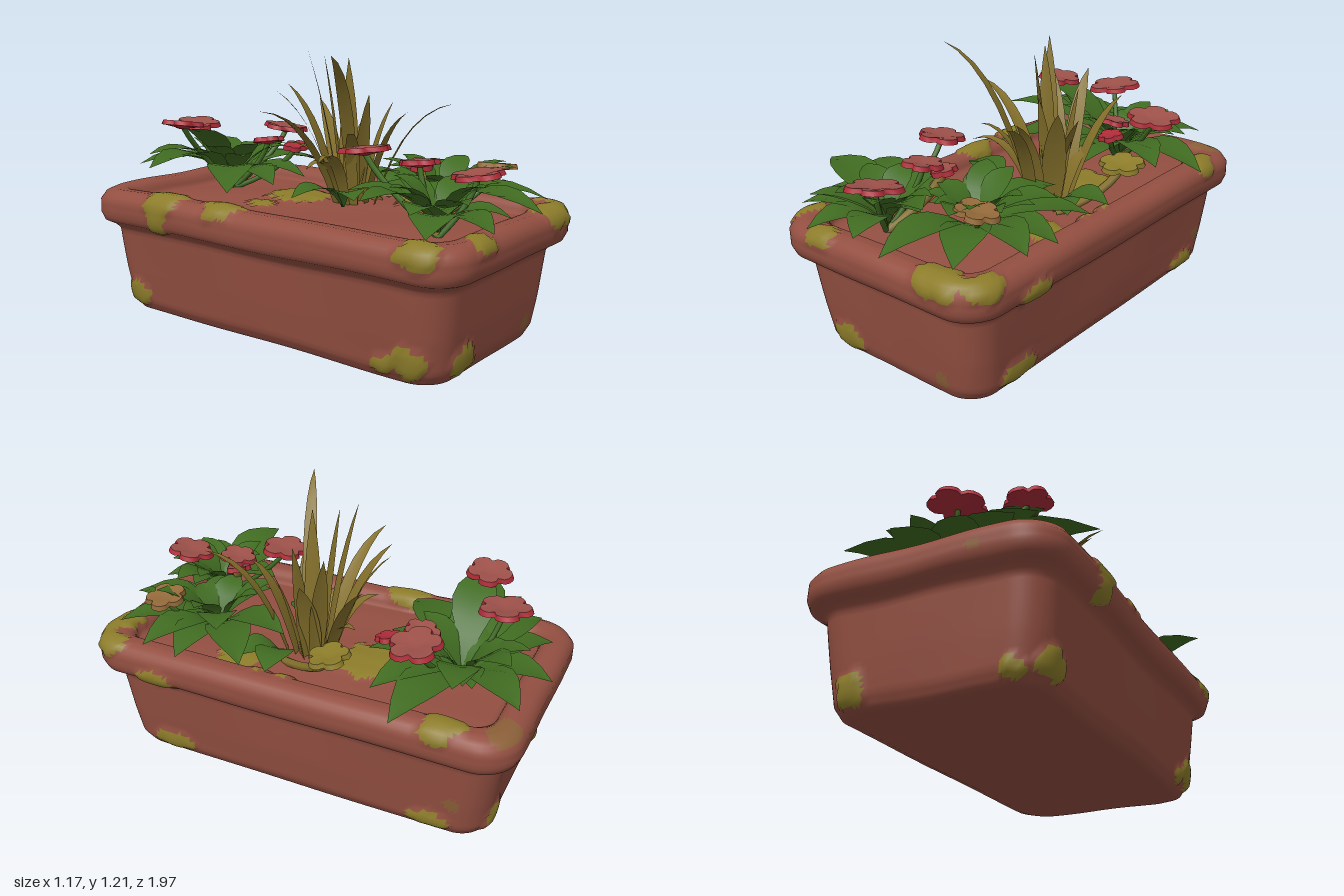
import * as THREE from 'three';

const mat = (name, color, side = THREE.FrontSide) => {
  const m = new THREE.MeshStandardMaterial({ color, side });
  m.name = name;
  return m;
};
const V = (x, y, z) => new THREE.Vector3(x, y, z);

// small seeded generator
let seed = 7;
const rnd = (a = 0, b = 1) => {
  seed = (seed * 16807) % 2147483647;
  return a + (b - a) * seed / 2147483647;
};

function makeGeometry(pos, index) {
  const g = new THREE.BufferGeometry();
  g.setAttribute('position', new THREE.Float32BufferAttribute(pos, 3));
  g.setIndex(index);
  g.computeVertexNormals();
  return g;
}

// rounded rectangle loop, evenly divided so that loops of any size can be joined
function ring(hx, hz, r) {
  r = Math.min(r, hx, hz);
  const signs = [[1, 1], [-1, 1], [-1, -1], [1, -1]], arc = 12, pts = [];
  const corner = (q, k) => {
    const a = (q + k / arc) * Math.PI / 2, [sx, sz] = signs[q];
    return [sx * (hx - r) + r * Math.cos(a), sz * (hz - r) + r * Math.sin(a)];
  };
  for (let q = 0; q < 4; q++) {
    for (let k = 0; k < arc; k++) pts.push(corner(q, k));
    const a = corner(q, arc), b = corner((q + 1) % 4, 0), n = q % 2 ? 72 : 34;
    for (let k = 0; k < n; k++) pts.push([a[0] + (b[0] - a[0]) * k / n, a[1] + (b[1] - a[1]) * k / n]);
  }
  return pts;
}

// planter wall profile, bottom centre to soil centre: y, half width, half depth, corner radius
const PROFILE = [
  [0.012, 0, 0.4, 0], [0.012, 0.37, 0.79, 0.11], [0.025, 0.41, 0.825, 0.12], [0.07, 0.438, 0.847, 0.13],
  [0.2, 0.455, 0.865, 0.13], [0.40, 0.475, 0.89, 0.13], [0.425, 0.495, 0.91, 0.14], [0.445, 0.528, 0.948, 0.15],
  [0.48, 0.54, 0.965, 0.16], [0.54, 0.54, 0.965, 0.16], [0.572, 0.52, 0.945, 0.15], [0.588, 0.485, 0.91, 0.13],
  [0.585, 0.435, 0.86, 0.1], [0.565, 0.41, 0.835, 0.09], [0.525, 0.397, 0.82, 0.08], [0.53, 0.3, 0.72, 0.08],
  [0.535, 0, 0.4, 0],
];

// moss patches: x, y, z, radius along the wall, radius in height, faded
const MOSS = [
  [-0.26, 0.1, 0.85, 0.085, 0.065], [0.33, 0.565, 0.93, 0.12, 0.05], [-0.28, 0.57, 0.94, 0.075, 0.04],
  [0.26, 0.1, 0.85, 0.035, 0.04, 1], [-0.44, 0.1, 0.72, 0.07, 0.07], [0.44, 0.09, 0.6, 0.1, 0.055],
  [0.44, 0.09, -0.63, 0.085, 0.045], [0.46, 0.2, -0.73, 0.035, 0.04, 1], [0.53, 0.45, 0.6, 0.085, 0.055],
  [0.51, 0.57, -0.66, 0.08, 0.05], [0.5, 0.56, 0.85, 0.09, 0.04], [0.46, 0.58, -0.68, 0.08, 0.05],
  [0.4, 0.58, -0.9, 0.08, 0.04, 1], [-0.49, 0.57, -0.48, 0.1, 0.07], [-0.53, 0.48, -0.5, 0.07, 0.08],
  [-0.47, 0.58, -0.17, 0.095, 0.06], [-0.52, 0.55, 0.8, 0.08, 0.06],
  [-0.44, 0.1, -0.74, 0.08, 0.06], [-0.44, 0.08, 0.6, 0.06, 0.04], [0.3, 0.1, -0.85, 0.07, 0.06],
  [-0.34, 0.08, -0.84, 0.045, 0.04], [0.1, 0.53, -0.22, 0.14, 0.05], [0.3, 0.53, 0.3, 0.1, 0.05],
  [-0.14, 0.53, -0.26, 0.06, 0.05], [-0.25, 0.5, -0.96, 0.03, 0.03, 1], [0.4, 0.55, 0.02, 0.06, 0.04], [0.4, 0.55, 0.14, 0.06, 0.04],
];

function planter(materials) {
  // subdivide the profile into short even steps
  const rows = [];
  PROFILE.forEach((p, i) => {
    const q = PROFILE[i + 1];
    if (!q) return rows.push(p);
    const n = Math.ceil(Math.hypot(q[0] - p[0], q[1] - p[1]) / 0.022);
    for (let k = 0; k < n; k++) rows.push(p.map((v, j) => v + (q[j] - v) * k / n));
  });
  const pos = [], index = [], n = ring(1, 1, 0.1).length;
  for (const [y, hx, hz, r] of rows) {
    for (const [x, z] of ring(hx, hz, r)) {
      const w = 0.004 * Math.sin(7 * z + 9 * y) + 0.003 * Math.sin(13 * x - 5 * z + 11 * y);
      pos.push(x * (1 + w) - 0.008, y + w * 0.8, z * (1 + w * 0.6) - 0.008);
    }
  }
  for (let t = 0; t < rows.length - 1; t++) {
    for (let s = 0; s < n; s++) {
      const a = t * n + s, b = t * n + (s + 1) % n;
      index.push(a, a + n, b, b, a + n, b + n);
    }
  }
  const g = makeGeometry(pos, index), P = g.attributes.position, N = g.attributes.normal;
  // raise moss out of the wall
  const cover = [], kind = [];
  for (let i = 0; i < P.count; i++) {
    const x = P.getX(i), y = P.getY(i), z = P.getZ(i);
    let best = 2;
    for (const [mx, my, mz, r, ry, faded] of MOSS) {
      const d = Math.hypot((x - mx) / r, (y - my) / ry, (z - mz) / r);
      if (d < best) [best, kind[i]] = [d, faded ? 2 : 1];
    }
    cover[i] = best + 0.12 * Math.sin(61 * x + 47 * y) + 0.12 * Math.sin(53 * z - 40 * y);
  }
  for (let i = 0; i < P.count; i++) {
    if (cover[i] >= 1 || kind[i] === 2) continue;
    const d = 0.006 + 0.01 * Math.sqrt(1 - Math.max(0, cover[i]));
    P.setXYZ(i, P.getX(i) + N.getX(i) * d, P.getY(i) + N.getY(i) * d, P.getZ(i) + N.getZ(i) * d);
  }
  const faces = [[], [], []];
  for (let i = 0; i < index.length; i += 3) {
    const f = index.slice(i, i + 3);
    faces[f.reduce((sum, v) => sum + cover[v], 0) < 3 ? kind[f[0]] || 1 : 0].push(...f);
  }
  g.setIndex(faces.flat());
  faces.reduce((start, list, m) => {
    g.addGroup(start, list.length, m);
    return start + list.length;
  }, 0);
  g.computeVertexNormals();
  return new THREE.Mesh(g, materials);
}

// creased blade bent along an arc from base to tip
const LEAF = [0.1, 0.2, 0.55, 0.9, 1, 0.86, 0.5, 0];
const BLADE = [0.6, 0.85, 1, 1, 0.9, 0.7, 0.4, 0];
function blade(base, tip, lift, width, shape, fold) {
  const dir = tip.clone().sub(base);
  const side = V(-dir.z, 0, dir.x).normalize(), forward = V(0, 1, 0).cross(side);
  const mid = base.clone().lerp(tip, 0.38);
  mid.y = (base.y + tip.y) / 2 + lift;
  const curve = new THREE.QuadraticBezierCurve3(base, mid, tip);
  const pos = [], index = [];
  shape.forEach((w, i) => {
    const c = curve.getPoint(i / (shape.length - 1));
    for (const k of [-1, 0, 1]) {
      const p = c.clone().addScaledVector(side, k * w * width / 2);
      p.addScaledVector(forward, k ? 0 : -fold * w * 0.5);
      p.y -= k ? 0 : fold * w;
      pos.push(p.x, p.y, p.z);
    }
    if (i) for (const k of [0, 1]) {
      const a = (i - 1) * 3 + k;
      index.push(a, a + 1, a + 3, a + 1, a + 4, a + 3);
    }
  });
  return makeGeometry(pos, index);
}

// point on a five-lobed shallow cup, f from centre to rim
function cupPoint(radius, f, a) {
  const lobe = 0.72 + 0.28 * Math.sqrt(Math.abs(Math.cos(2.5 * a)));
  const r = radius * f * (1 + (lobe - 1) * f) * (1 + 0.06 * Math.sin(2 * a + 1));
  return [r * Math.cos(a), radius * (0.22 * f - 0.06 * f * f * f), r * Math.sin(a)];
}
const SIDES = 30;
const angle = i => i / SIDES * Math.PI * 2;
function bloom(radius, flip) {
  const pos = [0, 0, 0], index = [];
  for (const f of [0.35, 0.75, 1]) for (let i = 0; i < SIDES; i++) pos.push(...cupPoint(radius, f, angle(i)));
  const tri = (a, b, c) => index.push(a, ...(flip ? [b, c] : [c, b]));
  for (let i = 0; i < SIDES; i++) {
    const k = (i + 1) % SIDES;
    tri(0, 1 + i, 1 + k);
    for (let j = 0; j < 2; j++) {
      const a = 1 + j * SIDES + i, b = 1 + j * SIDES + k;
      tri(a, a + SIDES, b);
      tri(b, a + SIDES, b + SIDES);
    }
  }
  return makeGeometry(pos, index);
}
// sloping petal edge between the upper and lower cups
function petalRim(radius, drop, spread) {
  const pos = [], index = [];
  for (let i = 0; i < SIDES; i++) {
    const [x, y, z] = cupPoint(radius, 1, angle(i)), a = i * 2, b = (i + 1) % SIDES * 2;
    pos.push(x, y, z, x * spread, y * spread - drop, z * spread);
    index.push(a, b, a + 1, b, b + 1, a + 1);
  }
  return makeGeometry(pos, index);
}

export function createModel() {
  seed = 7;
  const clay = mat('terracotta', 0x934f41), moss = mat('moss', 0x8c7c2a), faded = mat('faded moss', 0x8a5f38);
  const green = mat('leaf green', 0x406b21, THREE.DoubleSide), straw = mat('dry grass', 0x84702b, THREE.DoubleSide);
  const petal = mat('dusty pink', 0x9c5049), crimson = mat('crimson', 0xae2c39), ochre = mat('ochre', 0x946a3a);
  const model = new THREE.Group();
  const add = (parent, name, geometry, material) => {
    const m = new THREE.Mesh(geometry, material);
    m.name = name;
    parent.add(m);
    return m;
  };

  const pot = planter([clay, moss, faded]);
  pot.name = 'planter';
  model.add(pot);

  // leafy plants: base x, z, then leaf tips x, y, z
  const plants = [
    [0.07, -0.62, [[0.08, 0.64, -0.99], [-0.19, 0.66, -0.92], [-0.34, 0.68, -0.83], [0.33, 0.64, -0.93], [0.39, 0.7, -0.68],
      [0.58, 0.61, -0.5], [0.43, 0.64, -0.36], [-0.38, 0.74, -0.72], [-0.55, 0.72, -0.53], [-0.38, 0.62, -0.24], [-0.08, 0.61, -0.24],
      [0.2, 0.74, -0.85], [0.12, 0.62, -0.22], [-0.33, 0.86, -0.55]]],
    [0.15, 0.5, [[0.48, 0.62, 0.2], [0.24, 0.66, 0.12], [0.53, 0.61, 0.48], [0.52, 0.62, 0.65], [0.37, 0.61, 0.88],
      [0.1, 0.61, 0.98], [0.42, 0.72, 0.34], [0.03, 0.74, 0.3], [0.26, 0.75, 0.78]]],
    [-0.18, 0.68, [[-0.59, 0.73, 0.6], [-0.52, 0.61, 0.83], [-0.3, 0.61, 0.98], [-0.08, 0.62, 0.94], [-0.42, 0.72, 0.42],
      [-0.15, 0.7, 0.38], [-0.45, 0.67, 0.72], [0.1, 0.72, 0.75]]],
    [-0.04, 0.12, [[-0.29, 0.62, 0.04], [-0.14, 0.61, 0.25]]],
    [0.24, 0.12, [[0.48, 0.62, 0.08], [0.4, 0.61, 0.25]]],
  ];
  for (const [bx, bz, tips] of plants) {
    const plant = new THREE.Group();
    plant.name = 'leafyPlant';
    for (const [x, y, z] of tips) {
      const d = Math.hypot(x - bx, z - bz);
      add(plant, 'leaf', blade(V(bx, 0.55, bz), V(x, y, z), 0.09 + 0.22 * d, 0.13 + 0.14 * d, LEAF, 0.016), green);
    }
    // shorter inner leaves
    const inner = tips.length > 5 ? 10 : 0;
    for (let i = 0; i < inner; i++) {
      const a = i * 2.4 + rnd(-0.3, 0.3), d = rnd(0.17, 0.3);
      const tip = V(bx + d * Math.cos(a), rnd(0.66, 0.78), bz + d * Math.sin(a));
      add(plant, 'innerLeaf', blade(V(bx, 0.55, bz), tip, 0.13, 0.13, LEAF, 0.015), green);
    }
    model.add(plant);
  }

  // grass tuft: tip x, y, z, width, lift
  const grass = new THREE.Group();
  grass.name = 'grassTuft';
  const blades = [
    [-0.27, 1.21, 0.23, 0.06, 0.26], [0.02, 1.215, -0.12, 0.07, 0.06], [0.08, 1.18, 0.06, 0.07, 0.05], [-0.34, 0.975, -0.09, 0.06, 0.2],
    [0.27, 0.99, 0.47, 0.06, 0.2], [0.1, 1.05, -0.3, 0.075, 0.14], [-0.05, 1.03, -0.24, 0.08, 0.14], [0.28, 0.98, 0.16, 0.1, 0.08],
    [0.22, 1.03, -0.06, 0.085, 0.03], [0.15, 1.02, 0.12, 0.085, 0.04], [0.3, 0.97, -0.27, 0.07, 0.12], [-0.1, 0.88, 0.2, 0.06, 0.18],
    [0.05, 1.19, -0.05, 0.07, 0.05], [-0.02, 0.8, -0.2, 0.07, 0.16], [0.28, 0.92, 0.02, 0.1, 0.07], [-0.22, 0.76, 0.12, 0.06, 0.22],
    [0.18, 0.95, 0.3, 0.07, 0.14], [-0.17, 0.72, 0.02, 0.07, 0.2], [0.22, 0.75, -0.2, 0.07, 0.15],
  ];
  for (const [x, y, z, w, lift] of blades) {
    const base = V(0.14 + 0.15 * (x - 0.1) + rnd(-0.02, 0.02), 0.53, 0.02 + 0.28 * z);
    add(grass, 'grassBlade', blade(base, V(x, y, z), lift, w, BLADE, 0.012), straw);
  }
  model.add(grass);

  // flowers: x, y, z, radius, plant index, colours of top and underside, stem
  const pink = [petal, crimson, green], red = [crimson, crimson, green];
  const flowers = [
    [-0.05, 0.84, -0.74, 0.11, 0, pink], [-0.28, 0.875, -0.6, 0.095, 0, pink], [0.32, 0.805, -0.5, 0.11, 0, pink],
    [0.14, 0.77, -0.46, 0.07, 0, pink], [0.2, 0.745, -0.34, 0.055, 0, red], [-0.19, 0.835, 0.34, 0.1, 2, pink],
    [-0.1, 0.795, 0.54, 0.08, 2, pink], [-0.03, 0.775, 0.5, 0.055, 2, [petal, crimson, straw]], [-0.1, 0.77, 0.8, 0.105, 2, pink],
    [0.3, 0.74, 0.67, 0.085, 1, [ochre, ochre, green]], [0.38, 0.7, -0.16, 0.09, 4, [moss, moss, straw]],
  ];
  for (const [x, y, z, r, p, [top, under, stalk]] of flowers) {
    const flower = new THREE.Group();
    flower.name = 'flower';
    const root = V(plants[p][0], 0.53, plants[p][1]);
    const bend = V((root.x + x) / 2 + (x - root.x) * 0.3, y - 0.12, (root.z + z) / 2 + (z - root.z) * 0.3);
    const stem = new THREE.QuadraticBezierCurve3(root, bend, V(x, y - 0.01, z));
    add(flower, 'stem', new THREE.TubeGeometry(stem, 8, stalk === straw ? 0.02 : 0.012, 6), stalk);
    const head = new THREE.Group(), drop = 0.022, spread = 1.08;
    head.name = 'bloom';
    head.position.set(x, y, z);
    head.rotation.set(rnd(-0.2, 0.2), rnd(0, 6), rnd(-0.2, 0.2), 'YXZ');
    add(head, 'petalTops', bloom(r, false), top);
    add(head, 'petalRim', petalRim(r, drop, spread), under);
    add(head, 'petalUndersides', bloom(r * spread, true), under).position.y = -drop;
    flower.add(head);
    model.add(flower);
  }
  return model;
}
